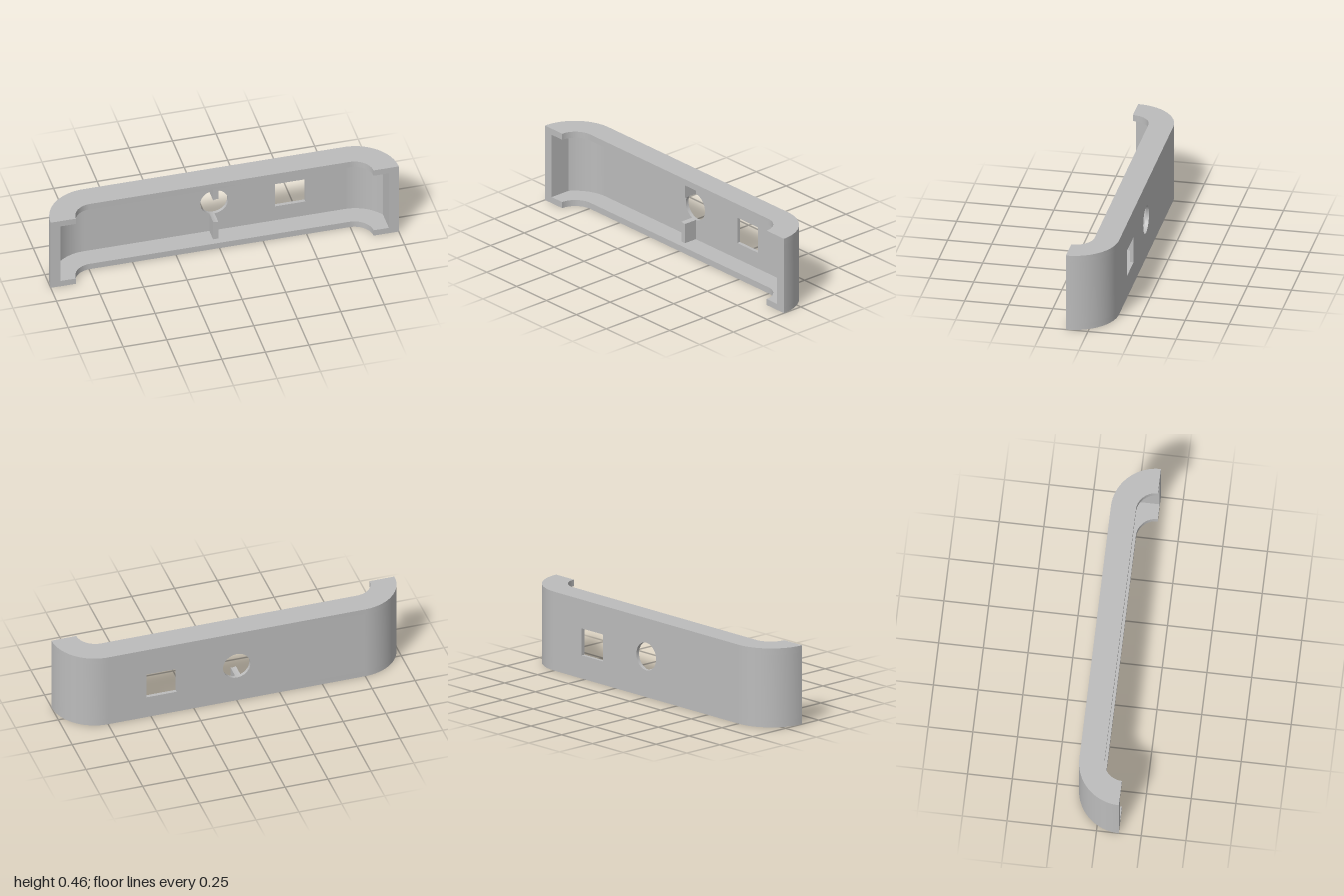
import * as THREE from 'three';
import { toCreasedNormals } from 'three/addons/utils/BufferGeometryUtils.js';

const HEIGHT = 0.455, RIM = 0.037;       // overall height, rim thickness
const BEND_X = 0.75, FRONT = 0.125;      // bend centre and front plane
const OUTER = 0.25, INNER = 0.23;        // bend radii of the thin wall
const HOLE = { x: 0, y: 0.234, r: 0.08 };

export function createModel() {
  const grey = new THREE.MeshStandardMaterial({ color: 0xbcbcbc });
  grey.name = 'plain grey';
  const model = new THREE.Group();
  model.name = 'bracketCover';

  const add = (name, shape, depth) => {
    let geo = new THREE.ExtrudeGeometry(shape, { depth, bevelEnabled: false, curveSegments: 16 });
    geo = toCreasedNormals(geo, 0.5);
    const mesh = new THREE.Mesh(geo, grey);
    mesh.name = name;
    model.add(mesh);
    return mesh;
  };
  // Plan shapes use (x, -z) and are raised along y
  const addPlan = (name, shape, y, height) => {
    const mesh = add(name, shape, height);
    mesh.geometry.rotateX(-Math.PI / 2);
    mesh.position.y = y;
    return mesh;
  };

  // Top and bottom rims: wide flat bands following the bent outline
  const rim = new THREE.Shape();
  rim.moveTo(-1, -FRONT);
  rim.absarc(-BEND_X, -FRONT, OUTER, Math.PI, Math.PI / 2, true);
  rim.absarc(BEND_X, -FRONT, OUTER, Math.PI / 2, 0, true);
  rim.lineTo(0.855, -FRONT);
  rim.absarc(0.745, -FRONT, 0.11, 0, Math.PI / 2, false);
  rim.absarc(-0.745, -FRONT, 0.11, Math.PI / 2, Math.PI, false);
  rim.closePath();
  addPlan('bottomRim', rim, 0, RIM);
  addPlan('topRim', rim, HEIGHT - RIM, RIM);

  // Curved end walls, thickened towards the front by a flat inner face
  const flatX = 0.943;
  const meet = Math.acos((flatX - BEND_X) / INNER);
  for (const side of [1, -1]) {
    const end = new THREE.Shape();
    const arc = (r, from, to, clockwise) => side > 0
      ? end.absarc(BEND_X, -FRONT, r, from, to, clockwise)
      : end.absarc(-BEND_X, -FRONT, r, Math.PI - from, Math.PI - to, !clockwise);
    end.moveTo(side * flatX, -FRONT);
    end.lineTo(side, -FRONT);
    arc(OUTER, 0, Math.PI / 2, false);
    arc(INNER, Math.PI / 2, meet, true);
    end.closePath();
    addPlan(side > 0 ? 'leftEndWall' : 'rightEndWall', end, RIM, HEIGHT - 2 * RIM);
  }

  // Thin back wall with a round and a square opening
  const rect = (path, x0, y0, x1, y1) => {
    path.moveTo(x0, y0);
    path.lineTo(x1, y0);
    path.lineTo(x1, y1);
    path.lineTo(x0, y1);
    path.closePath();
    return path;
  };
  const wall = rect(new THREE.Shape(), -BEND_X, RIM, BEND_X, HEIGHT - RIM);
  const round = new THREE.Path();
  round.absarc(HOLE.x, HOLE.y, HOLE.r, 0, Math.PI * 2, true);
  wall.holes.push(round, rect(new THREE.Path(), 0.35, 0.134, 0.525, 0.289));
  add('backWall', wall, OUTER - INNER).position.z = -0.125;

  // Stiffening rib, interrupted by the round opening
  const x0 = -0.027, x1 = 0.003;
  const a0 = Math.acos(x0 / HOLE.r), a1 = Math.acos(x1 / HOLE.r);
  for (const dir of [1, -1]) {
    const rib = new THREE.Shape();
    const base = dir > 0 ? HEIGHT - RIM : RIM;
    rib.moveTo(x1, base);
    rib.lineTo(x0, base);
    rib.absarc(HOLE.x, HOLE.y, HOLE.r, dir * a0, dir * a1, dir > 0);
    rib.closePath();
    add(dir > 0 ? 'upperRib' : 'lowerRib', rib, 0.08).position.z = -0.105;
  }
  return model;
}
